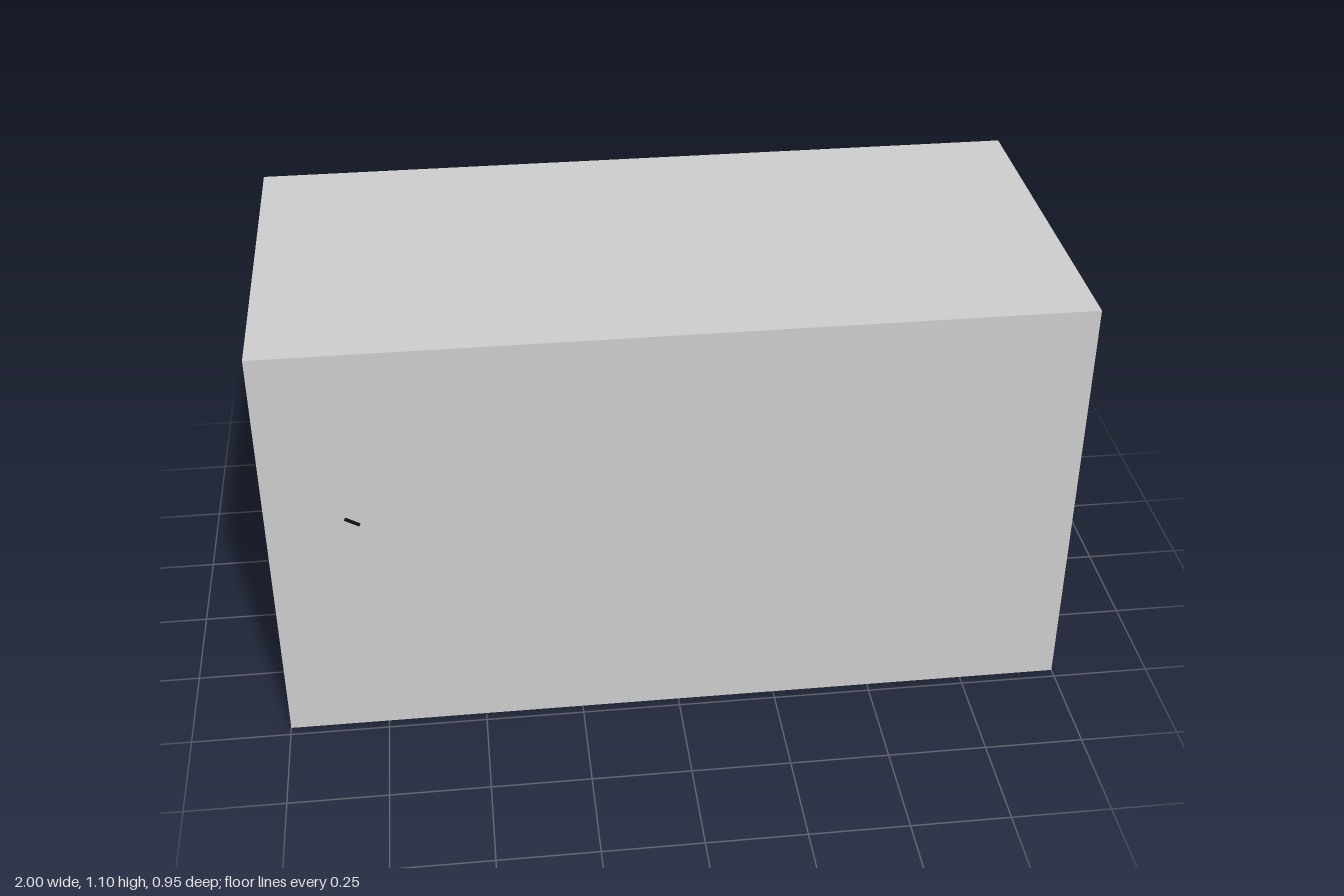
import * as THREE from 'three';

const mat = (color, side = THREE.FrontSide) => new THREE.MeshStandardMaterial({ color, side });
const M = {
  shell: mat(0xcccccc), lining: mat(0x585858), black: mat(0x101010), dark: mat(0x2c2c30),
  path: mat(0x929292), yellow: mat(0xd4b840), lamp: mat(0xf0b810), duct: mat(0x9a9a9a, THREE.DoubleSide),
  pipe: mat(0x484848), red: mat(0xb01020), white: mat(0xc8c8c8), wood: mat(0xb98038), woodDark: mat(0x8a5226),
};

const FLOOR = 0.035, CEIL = 1.06, TOP = 1.1, BACK = -0.475, FRONT = 0.475, WALL = 0.96;

function add(parent, name, geometry, material, x = 0, y = 0, z = 0) {
  const mesh = new THREE.Mesh(geometry, material);
  mesh.name = name;
  mesh.position.set(x, y, z);
  parent.add(mesh);
  return mesh;
}

// Box given by its two opposite corners, in any order along each axis
function span(parent, name, material, x0, x1, y0, y1, z0, z1) {
  return add(parent, name,
    new THREE.BoxGeometry(Math.abs(x1 - x0), Math.abs(y1 - y0), Math.abs(z1 - z0)),
    material, (x0 + x1) / 2, (y0 + y1) / 2, (z0 + z1) / 2);
}

function group(parent, name) {
  const g = new THREE.Group();
  g.name = name;
  parent.add(g);
  return g;
}

const polygon = (points) => new THREE.Shape(points.map(([x, y]) => new THREE.Vector2(x, y)));
const rect = (x0, x1, y0, y1) => polygon([[x0, y0], [x1, y0], [x1, y1], [x0, y1]]);
const extrude = (shape, depth) => new THREE.ExtrudeGeometry(shape, { depth, bevelEnabled: false });

// Side wall with a doorway, from x0 to x1 (x0 < x1)
function doorWall(parent, name, material, x0, x1, y0, y1, z0, z1) {
  const shape = rect(-z1, -z0, y0, y1);
  shape.holes.push(rect(-0.08, 0.14, FLOOR, 0.405));
  const geometry = extrude(shape, x1 - x0);
  geometry.rotateY(Math.PI / 2);
  add(parent, name, geometry, material, x0);
}

function buildShell(root) {
  const g = group(root, 'shell');
  span(g, 'base', M.shell, -1, 1, 0, 0.02, BACK, FRONT);
  span(g, 'roof', M.shell, -1, 1, 1.085, TOP, BACK, FRONT);
  span(g, 'frontWall', M.shell, -1, 1, 0.02, 1.085, 0.47, FRONT);
  span(g, 'ceiling', M.lining, -0.99, 0.99, CEIL, 1.085, BACK, 0.47);
  span(g, 'frontLining', M.lining, -WALL, WALL, FLOOR, CEIL, 0.463, 0.47);
  span(g, 'floor', M.black, -0.99, 0.99, 0.02, FLOOR, BACK, 0.47);
  for (const s of [-1, 1]) {
    const inner = s > 0 ? [WALL, 0.99] : [-0.99, -WALL];
    const outer = s > 0 ? [0.99, 1] : [-1, -0.99];
    doorWall(g, 'sideLining', M.lining, ...inner, 0.02, CEIL, BACK, 0.47);
    doorWall(g, 'sideWall', M.shell, ...outer, 0.02, 1.085, BACK, 0.47);
  }
  // Black edge around the open back
  const rim = rect(-1, 1, 0, TOP);
  rim.holes.push(rect(-WALL, WALL, FLOOR, CEIL));
  add(g, 'openingRim', extrude(rim, 0.002), M.black, 0, 0, BACK - 0.002);
}

function buildFloorMarkings(root) {
  const g = group(root, 'floorMarkings');
  span(g, 'walkway', M.path, -WALL, WALL, FLOOR, 0.037, -0.14, 0.08);
  // Yellow outlines of the two black floor panels
  for (const [z0, z1] of [[-0.465, -0.128], [0.085, 0.458]]) {
    const frame = rect(-0.955, 0.955, z0, z1);
    frame.holes.push(rect(-0.93, 0.93, z0 + 0.022, z1 - 0.022));
    const geometry = extrude(frame, 0.003);
    geometry.rotateX(Math.PI / 2);
    add(g, 'panelOutline', geometry, M.yellow, 0, 0.039, 0);
  }
}

// Rack of small containers beside the doorway
function buildShelf(root, s) {
  const g = group(root, 'shelf');
  const box = (name, m, x0, x1, ...rest) => span(g, name, m, s * x0, s * x1, ...rest);
  const z0 = -0.44, z1 = -0.16, y1 = 0.35, x0 = 0.875;
  box('shelfBack', M.dark, 0.945, WALL, FLOOR, y1, z0, z1);
  box('shelfTop', M.dark, x0, 0.945, y1 - 0.015, y1, z0, z1);
  box('shelfBottom', M.dark, x0, 0.945, FLOOR, 0.055, z0, z1);
  for (const z of [z0, z1 - 0.015]) box('shelfSide', M.dark, x0, 0.945, 0.055, 0.335, z, z + 0.015);
  for (const z of [-0.357, -0.257]) box('shelfPost', M.black, x0, 0.89, 0.055, 0.335, z, z + 0.014);
  for (let row = 0; row < 4; row++) {
    const y = 0.055 + row * 0.07;
    if (row) box('shelfBoard', M.black, x0, 0.945, y - 0.01, y, z0 + 0.015, z1 - 0.015);
    for (let i = 0; i < 3; i++) {
      const z = -0.415 + i * 0.093;
      box('container', (row + i) % 2 ? M.white : M.red, 0.893, 0.94, y, y + 0.048, z, z + 0.055);
    }
  }
}

function buildSideFittings(root, s) {
  const g = group(root, s > 0 ? 'leftFittings' : 'rightFittings');
  const v = (x, y, z) => new THREE.Vector3(s * x, y, z);
  // Thin wall pipes, turned into the wall at both ends
  for (const z of [0.197, -0.253]) {
    const end = s > 0 ? 1.002 : 0.98;
    const path = new THREE.CurvePath();
    path.add(new THREE.LineCurve3(v(end, 0.905, z), v(0.965, 0.905, z)));
    path.add(new THREE.QuadraticBezierCurve3(v(0.965, 0.905, z), v(0.945, 0.905, z), v(0.945, 0.88, z)));
    path.add(new THREE.LineCurve3(v(0.945, 0.88, z), v(0.945, 0.39, z)));
    path.add(new THREE.QuadraticBezierCurve3(v(0.945, 0.39, z), v(0.945, 0.365, z), v(0.975, 0.365, z)));
    add(g, 'wallPipe', new THREE.TubeGeometry(path, 48, 0.017, 12), M.pipe);
    add(g, 'pipeEnd', new THREE.SphereGeometry(0.017, 12, 8).scale(0.06, 1, 1), M.pipe, s * end, 0.905, z);
  }
  // Large duct from the ceiling into the wall
  const duct = new THREE.CurvePath();
  duct.add(new THREE.LineCurve3(v(0.84, CEIL, -0.03), v(0.84, 0.84, -0.03)));
  duct.add(new THREE.QuadraticBezierCurve3(v(0.84, 0.84, -0.03), v(0.845, 0.74, -0.03), v(0.965, 0.7, -0.03)));
  add(g, 'duct', new THREE.TubeGeometry(duct, 32, 0.082, 20), M.duct);
  // Warning lamp above the doorway
  const ring = new THREE.CylinderGeometry(0.085, 0.085, 0.025, 20).rotateZ(Math.PI / 2);
  add(g, 'lampRing', ring, M.black, s * 0.948, 0.495, -0.03);
  add(g, 'lampDome', new THREE.SphereGeometry(0.068, 16, 12).scale(0.7, 1, 1), M.lamp, s * 0.935, 0.495, -0.03);
  buildShelf(g, s);
}

// Striped pillar standing against the front wall
function buildPillar(root, x) {
  const g = group(root, 'pillar');
  const w = 0.028, pitch = 0.09;
  span(g, 'pillarBody', M.black, x - w, x + w, FLOOR, 0.42, 0.445, 0.463);
  for (let i = 0; i < 4; i++) {
    const y = 0.04 + i * pitch;
    const stripe = polygon([[-w, y], [w, y + 0.04], [w, y + 0.085], [-w, y + 0.045]]);
    add(g, 'pillarStripe', extrude(stripe, 0.003), M.yellow, x, 0, 0.442);
  }
}

// Dark upper gallery with a row of barred bays
function buildGallery(root) {
  const g = group(root, 'gallery');
  const z0 = 0.39, z1 = 0.415;
  const face = rect(-WALL, WALL, 0.42, CEIL);
  for (let i = -3; i <= 3; i++) {
    const x = i * 0.25;
    face.holes.push(rect(x - 0.09, x + 0.09, 0.48, 1.01));
    for (const y of [0.6, 0.83]) span(g, 'bayBar', M.black, x - 0.09, x + 0.09, y, y + 0.025, 0.398, 0.412);
    span(g, 'bayPost', M.black, x - 0.01, x + 0.01, 0.48, 1.01, 0.4, 0.41);
  }
  add(g, 'galleryFace', extrude(face, z1 - z0), M.dark, 0, 0, z0);
  span(g, 'galleryFloor', M.dark, -WALL, WALL, 0.42, 0.44, z1, 0.463);
  span(g, 'galleryBack', M.dark, -WALL, WALL, 0.44, CEIL, 0.458, 0.463);
  span(g, 'storedBox', M.woodDark, 0.76, 0.81, 0.44, 0.54, 0.42, 0.455);
  // Slanted lever whose end reaches through the front wall
  const lever = add(g, 'lever', new THREE.BoxGeometry(0.04, 0.008, 0.06), M.black, -0.792, 0.635, 0.448);
  lever.rotation.z = -0.52;
}

// Tilted wooden panel on the front wall
function buildPanel(root) {
  const g = group(root, 'woodenPanel');
  g.position.set(-0.036, 0.217, 0.452);
  g.rotation.z = -0.71;
  add(g, 'panelBoard', new THREE.BoxGeometry(0.16, 0.16, 0.02), M.wood);
  for (const s of [-1, 1]) {
    add(g, 'panelEdge', new THREE.BoxGeometry(0.16, 0.014, 0.026), M.woodDark, 0, s * 0.073, -0.001);
    add(g, 'panelEdge', new THREE.BoxGeometry(0.014, 0.132, 0.026), M.woodDark, s * 0.073, 0, -0.001);
  }
}

export function createModel() {
  const root = new THREE.Group();
  root.name = 'storageRoom';
  buildShell(root);
  buildFloorMarkings(root);
  for (const s of [-1, 1]) buildSideFittings(root, s);
  for (const x of [-0.67, -0.25, 0.18, 0.6]) buildPillar(root, x);
  buildGallery(root);
  buildPanel(root);
  return root;
}
